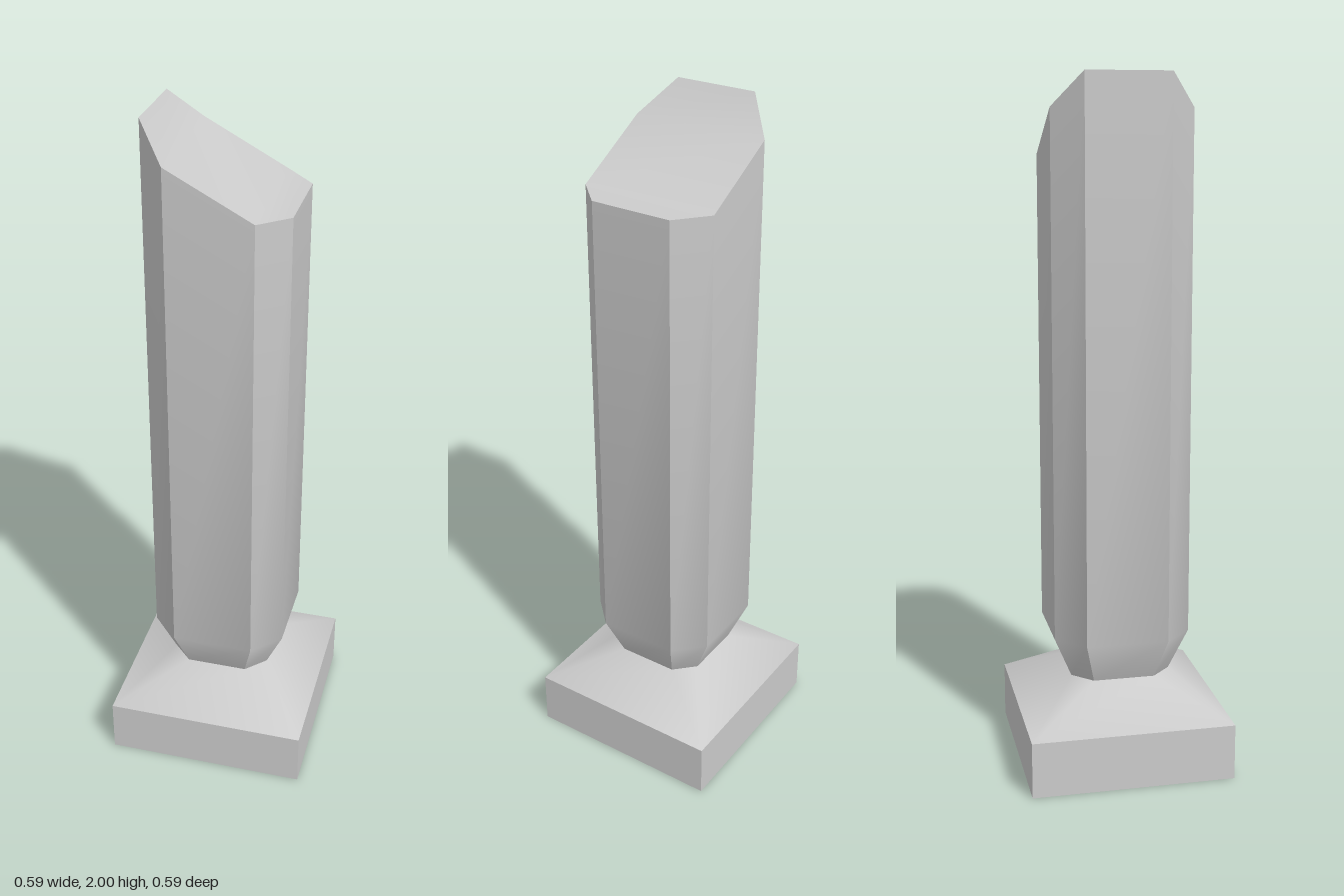
import * as THREE from 'three';
import { mergeVertices, toCreasedNormals } from 'three/addons/utils/BufferGeometryUtils.js';

const material = new THREE.MeshStandardMaterial({ color: 0xcccccc, side: THREE.DoubleSide });

// Square with cut corners, starting on the front edge and running towards +x
function octagon(half, flat, heightAt) {
  const xz = [[-flat, half], [flat, half], [half, flat], [half, -flat],
    [flat, -half], [-flat, -half], [-half, -flat], [-half, flat]];
  return xz.map(([x, z]) => [x, heightAt(x), z]);
}

function square(half, y) {
  return [[-half, y, half], [half, y, half], [half, y, -half], [-half, y, -half]];
}

const quad = (a, b, c, d) => [a, b, c, a, c, d];

// Wall between two rings with equal point counts
function band(low, high) {
  return low.flatMap((p, i) => {
    const j = (i + 1) % low.length;
    return quad(p, low[j], high[j], high[i]);
  });
}

function addMesh(group, name, points, crease) {
  let geometry = new THREE.BufferGeometry();
  geometry.setAttribute('position', new THREE.Float32BufferAttribute(points.flat(), 3));
  geometry = toCreasedNormals(mergeVertices(geometry), crease);
  const mesh = new THREE.Mesh(geometry, material);
  mesh.name = name;
  group.add(mesh);
}

export function createModel() {
  const group = new THREE.Group();
  group.name = 'post';

  const baseHalf = 0.297, baseTop = 0.165, neckY = 0.275;
  const neck = octagon(0.147, 0.09, () => neckY);
  const rim = square(baseHalf, baseTop);

  // Hollow square plinth, open below
  addMesh(group, 'plinthWalls', band(square(baseHalf, 0), rim), 0.5);

  // Smooth slope from the square rim to the eight-sided neck
  const slope = rim.flatMap((corner, k) => {
    const next = rim[(k + 1) % 4];
    return [
      ...quad(corner, next, neck[2 * k + 1], neck[2 * k]),
      next, neck[(2 * k + 2) % 8], neck[2 * k + 1],
    ];
  });
  addMesh(group, 'plinthSlope', slope, Math.PI);

  // Shaft: tapered foot, straight walls and a curved slanting top
  const profile = [[-0.2, 2, 0.118], [-0.12, 1.907, 0.2], [0.12, 1.78, 0.2], [0.2, 1.776, 0.118]];
  const topHeight = (x) => profile.reduce((best, p) =>
    Math.abs(p[0] - x) < Math.abs(best[0] - x) ? p : best)[1];
  const knee = octagon(0.2, 0.12, () => 0.4);
  const top = octagon(0.2, 0.12, topHeight);
  addMesh(group, 'shaftWalls', [...band(neck, knee), ...band(knee, top)], 0.5);

  // Top surface in strips running front to back
  const strips = [[6, 7, 0, 5], [5, 0, 1, 4], [4, 1, 2, 3]];
  addMesh(group, 'shaftTop', strips.flatMap((s) => quad(...s.map((i) => top[i]))), 0.5);

  return group;
}
